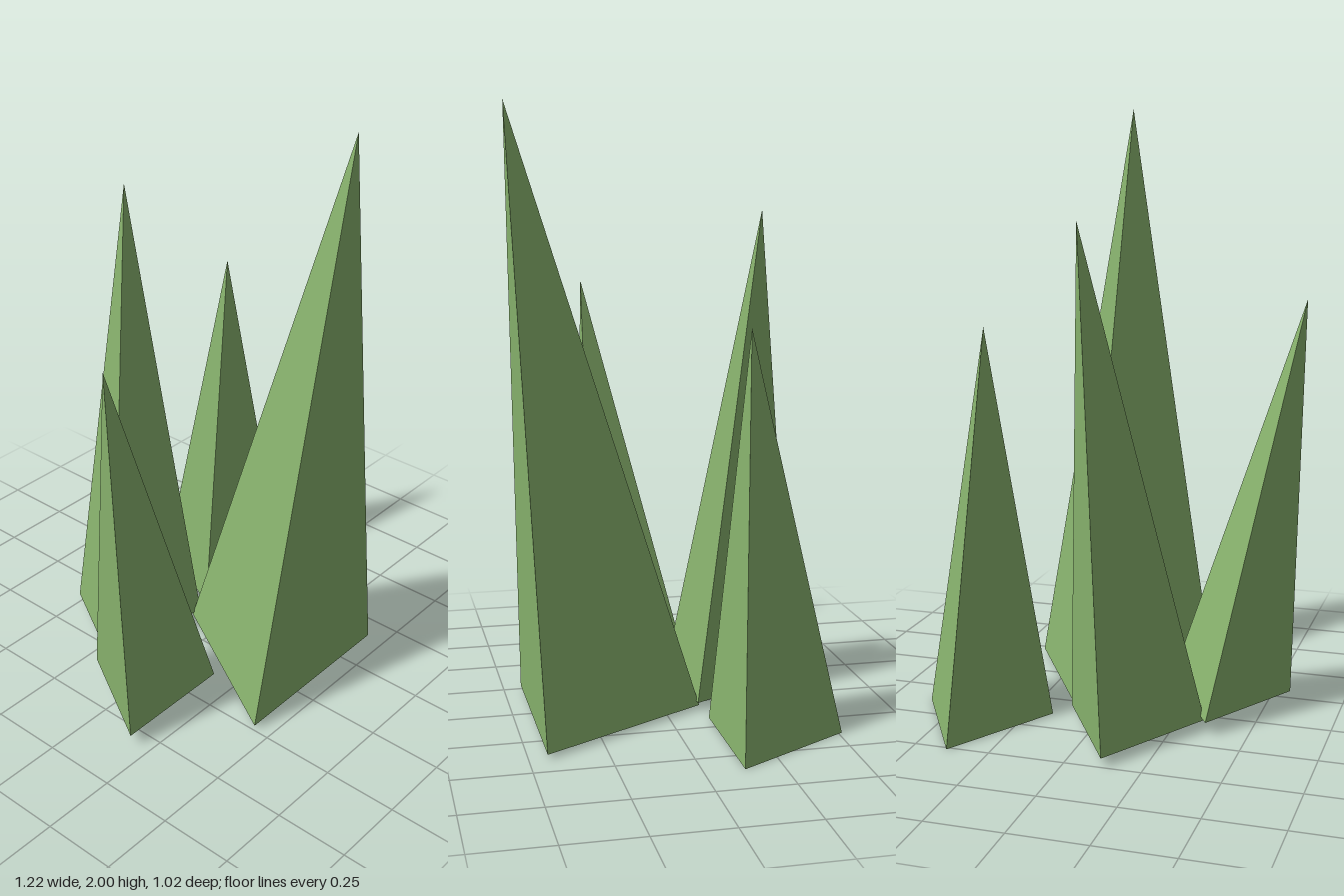
import * as THREE from 'three';

const material = new THREE.MeshStandardMaterial({ color: 0x8ab56f, flatShading: true });

// Three-sided spike: a triangular cone sheared so its tip lands on the given point.
function makeSpike(name, [x, y, z], radius, tip) {
  const height = tip[1] - y;
  const geometry = new THREE.ConeGeometry(radius, height, 3, 1, false, Math.PI);
  geometry.translate(0, height / 2, 0);
  const p = geometry.attributes.position;
  for (let i = 0; i < p.count; i++) {
    const t = p.getY(i) / height;
    p.setX(i, p.getX(i) + (tip[0] - x) * t);
    p.setZ(i, p.getZ(i) + (tip[2] - z) * t);
  }
  geometry.computeVertexNormals();
  const mesh = new THREE.Mesh(geometry, material);
  mesh.name = name;
  mesh.position.set(x, y, z);
  return mesh;
}

export function createModel() {
  const group = new THREE.Group();
  group.name = 'grassTuft';
  // name, base centre, base radius, tip
  group.add(
    makeSpike('frontBlade', [0.079, 0.014, 0.255], 0.373, [0.079, 2, 0.511]),
    makeSpike('rightBlade', [-0.369, 0.047, 0.071], 0.241, [-0.613, 1.392, 0.158]),
    makeSpike('backBlade', [-0.122, 0.031, -0.239], 0.265, [0.005, 1.658, -0.341]),
    makeSpike('leftBlade', [0.388, 0, -0.257], 0.256, [0.365, 1.309, -0.207]),
  );
  return group;
}
